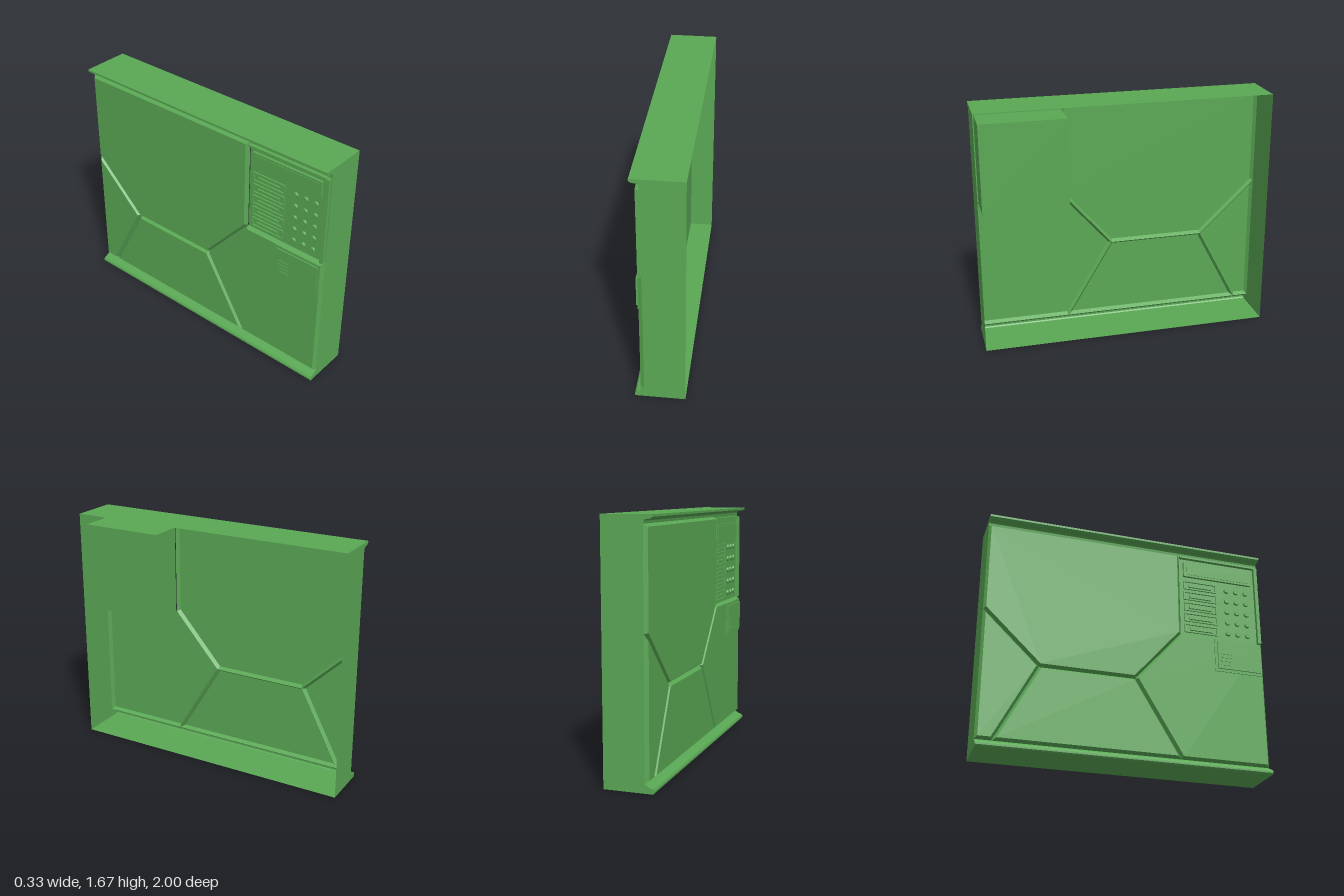
import * as THREE from 'three';

const green = new THREE.MeshStandardMaterial({ color: 0x5aa855, side: THREE.DoubleSide });
const SEAM = -0.105, FACE = -0.13; // depth of the seams and of the panel faces

// Flat-shaded mesh from a list of triangle corners
function sheet(name, corners) {
  const g = new THREE.BufferGeometry().setFromPoints(corners);
  g.computeVertexNormals();
  const m = new THREE.Mesh(g, green);
  m.name = name;
  return m;
}

// Box given by its limits
function box(name, x0, x1, y0, y1, z0, z1) {
  const m = new THREE.Mesh(new THREE.BoxGeometry(x1 - x0, y1 - y0, z1 - z0), green);
  m.position.set((x0 + x1) / 2, (y0 + y1) / 2, (z0 + z1) / 2);
  m.name = name;
  return m;
}

// Shrink a counter-clockwise polygon with mitred corners
function inset(pts, d) {
  const n = pts.length;
  return pts.map((p, i) => {
    const a = p.clone().sub(pts[(i + n - 1) % n]).normalize();
    const b = pts[(i + 1) % n].clone().sub(p).normalize();
    const na = new THREE.Vector2(-a.y, a.x), nb = new THREE.Vector2(-b.y, b.x);
    return na.clone().add(nb).multiplyScalar(d / (1 + na.dot(nb))).add(p);
  });
}

// Panel with bevelled edges, outline as [z, y] pairs
function panel(name, outline, bevel = 0.017) {
  const pts = outline.map(([z, y]) => new THREE.Vector2(z, y));
  if (THREE.ShapeUtils.isClockWise(pts)) pts.reverse();
  const at = (p, x) => new THREE.Vector3(x, p.y, p.x);
  const inner = inset(pts, bevel), tris = [];
  for (const f of THREE.ShapeUtils.triangulateShape(inner, [])) {
    for (const i of f) tris.push(at(inner[i], FACE));
  }
  pts.forEach((p, i) => {
    const j = (i + 1) % pts.length;
    const a = at(p, SEAM), b = at(pts[j], SEAM), c = at(inner[j], FACE), d = at(inner[i], FACE);
    tris.push(a, b, c, a, c, d);
  });
  return sheet(name, tris);
}

// Sheet swept along z from an [x, y] profile
function sweep(name, profile) {
  const tris = [];
  for (let i = 0; i < profile.length - 1; i++) {
    const [a, b, c, d] = [[i, -1], [i + 1, -1], [i + 1, 1], [i, 1]]
      .map(([k, z]) => new THREE.Vector3(...profile[k], z));
    tris.push(a, b, c, a, c, d);
  }
  return sheet(name, tris);
}

export function createModel() {
  const model = new THREE.Group();
  model.name = 'wallPanel';

  // Shell: top and bottom with their lips, and the two end walls
  const bottom = [[0.165, 0], [-0.16, 0], [-0.167, 0.008], [-0.167, 0.02], [-0.158, 0.033], [-0.135, 0.04], [SEAM, 0.06]];
  const top = [[SEAM, 1.615], [-0.108, 1.632], [-0.118, 1.641], [-0.15, 1.645], [-0.165, 1.655], [-0.165, 1.67], [0.165, 1.67]];
  model.add(sweep('bottomWall', bottom), sweep('topWall', top));
  const endShape = new THREE.Shape([...bottom, ...top].map(p => new THREE.Vector2(...p)).reverse());
  for (const side of [1, -1]) {
    const end = new THREE.Mesh(new THREE.ShapeGeometry(endShape), green);
    end.position.z = side;
    end.name = side > 0 ? 'frontEndWall' : 'backEndWall';
    model.add(end);
  }

  // Facing panels meeting at V-shaped seams
  const a = [0.385, 0.98], b = [0.05, 0.597], c = [-0.61, 0.597], d = [-1, 0.97];
  const e = [0.37, 0.06], f = [-0.89, 0.06];
  model.add(
    panel('mainPanel', [[0.385, 1.615], a, b, c, d, [-1, 1.615]]),
    panel('lowerFrontPanel', [[1, 0.98], a, b, e, [1, 0.06]]),
    panel('lowerMiddlePanel', [b, c, f, e]),
    panel('lowerBackPanel', [c, d, [-1, 0.06], f])
  );

  // Control panel: housing on the inside, raised rim on the outside
  const controls = new THREE.Group();
  controls.name = 'controlPanel';
  controls.add(
    box('controlHousing', SEAM, 0.13, 0.98, 1.59, 0.39, 0.97),
    box('endRim', FACE, SEAM, 0.98, 1.6, 0.97, 0.995),
    box('topRim', FACE, SEAM, 1.59, 1.605, 0.39, 0.97),
    box('rimBacking', SEAM, SEAM + 0.003, 0.98, 1.615, 0.97, 1),
    box('topBacking', SEAM, SEAM + 0.003, 1.59, 1.615, 0.385, 0.97),
    box('displayFrame', -0.122, SEAM, 1.445, 1.56, 0.42, 0.94),
    box('displayScreen', -0.125, SEAM, 1.46, 1.545, 0.44, 0.92)
  );
  const buttonShape = new THREE.CylinderGeometry(0.016, 0.02, 0.012, 12).rotateZ(Math.PI / 2);
  for (let row = 0; row < 5; row++) {
    const y = 1.035 + row * 0.086;
    // Slot with a raised frame and a slider
    controls.add(
      box('slotTop', -0.115, SEAM, y + 0.025, y + 0.033, 0.42, 0.67),
      box('slotBottom', -0.115, SEAM, y - 0.033, y - 0.025, 0.42, 0.67),
      box('slotSide', -0.115, SEAM, y - 0.025, y + 0.025, 0.42, 0.428),
      box('slotSide', -0.115, SEAM, y - 0.025, y + 0.025, 0.662, 0.67),
      box('slotSlider', -0.116, SEAM, y - 0.015, y + 0.005, 0.46, 0.63)
    );
    for (let col = 0; col < 3; col++) {
      const button = new THREE.Mesh(buttonShape, green);
      button.position.set(SEAM - 0.006, y, 0.75 + col * 0.075);
      button.name = 'button';
      controls.add(button);
    }
  }
  model.add(controls);

  // Small cover plate with slats below the controls
  const cover = new THREE.Group();
  cover.name = 'coverPlate';
  cover.add(
    box('coverBase', -0.136, FACE, 0.72, 0.963, 0.63, 0.983),
    box('coverFace', -0.145, -0.136, 0.74, 0.945, 0.65, 0.97)
  );
  for (let i = 0; i < 4; i++) {
    const y = 0.765 + i * 0.028;
    cover.add(box('slat', -0.149, -0.145, y, y + 0.012, 0.67, 0.75));
  }
  model.add(cover);
  return model;
}
